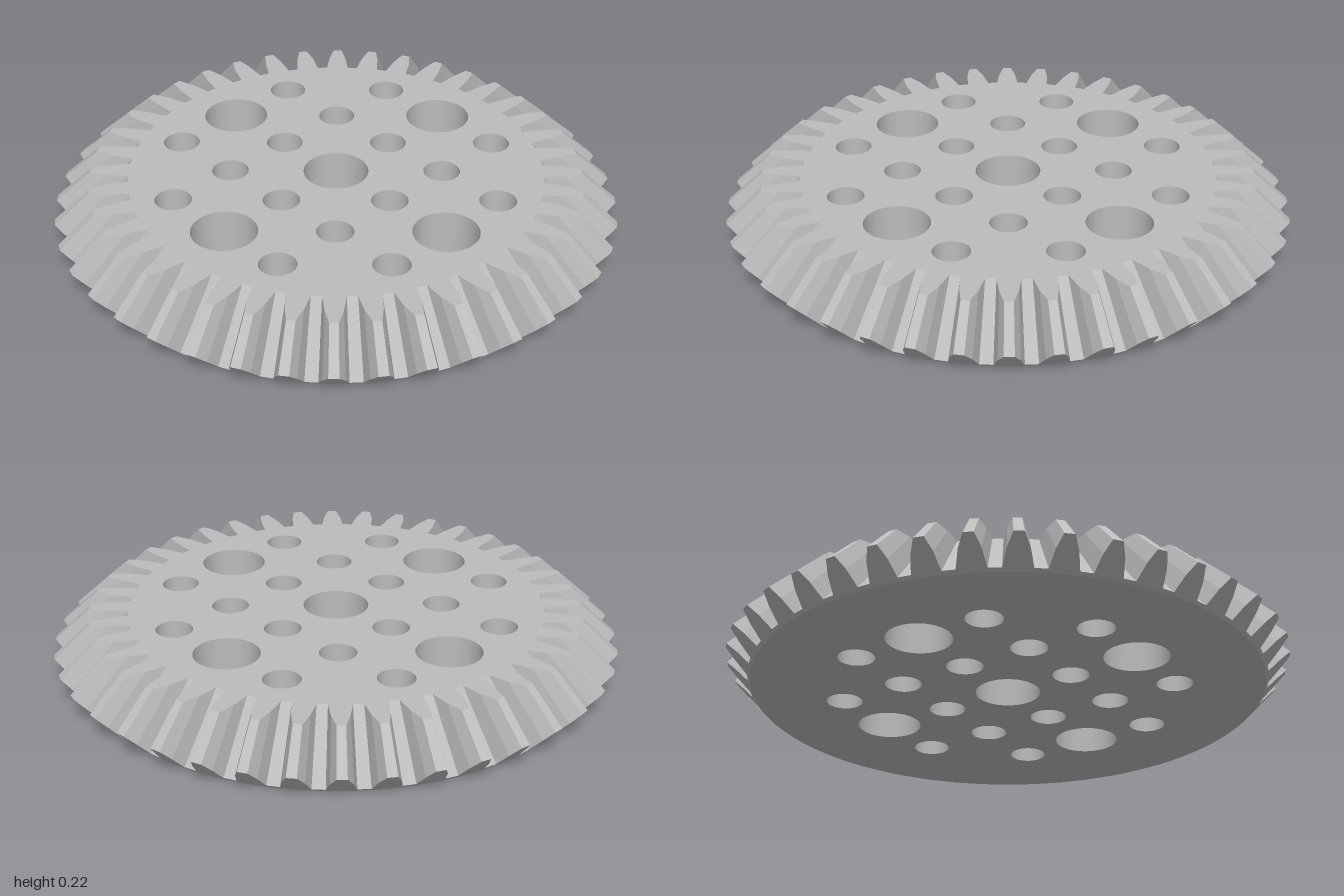
import * as THREE from 'three';

const TEETH = 40;
const TOP = 0.215;      // height of the upper face
const RIM = 0.91;       // radius of the lower face
const APEX = 1.03;      // height where all tooth lines converge
const PITCH = 0.265;    // hole grid spacing

// Half a tooth: [angle in degrees, radius], from tip to root
const HALF_TOOTH = [[1.0, 1.0], [2.2, 0.965], [3.1, 0.92]];
const TOOTH = [
  ...HALF_TOOTH.map(([a, r]) => [-a, r]).reverse(),
  ...HALF_TOOTH,
];

const polar = (angle, r, y) =>
  new THREE.Vector3(r * Math.cos(angle), y, -r * Math.sin(angle));

// Flat-shaded band joining a lower ring to an upper ring
function band(lower, upper) {
  const points = [];
  lower.forEach((a, i) => {
    const j = (i + 1) % lower.length;
    points.push(a, lower[j], upper[j], a, upper[j], upper[i]);
  });
  const geometry = new THREE.BufferGeometry().setFromPoints(points);
  geometry.computeVertexNormals();
  return geometry;
}

// Hole layout on the grid: five large axle holes and sixteen small ones
function holeLayout() {
  const holes = [];
  for (let i = -2; i <= 2; i++) {
    for (let j = -2; j <= 2; j++) {
      if (Math.abs(i) === 2 && Math.abs(j) === 2) continue;
      const large = (i === 0 && j === 0) || Math.abs(i) + Math.abs(j) === 2 && i * j === 0;
      holes.push({ x: i * PITCH, z: j * PITCH, r: large ? 0.115 : 0.065 });
    }
  }
  return holes;
}

// Flat face bounded by a ring and pierced by the holes
function piercedFace(ring, holes) {
  const shape = new THREE.Shape(ring.map((p) => new THREE.Vector2(p.x, -p.z)));
  for (const h of holes) {
    const path = new THREE.Path();
    path.absarc(h.x, -h.z, h.r, 0, Math.PI * 2, true);
    shape.holes.push(path);
  }
  return new THREE.ShapeGeometry(shape, 24);
}

export function createModel() {
  const gear = new THREE.Group();
  gear.name = 'bevelGear';
  const grey = new THREE.MeshStandardMaterial({ color: 0xbcbcbc });
  grey.name = 'grey';

  const add = (name, geometry) => {
    const mesh = new THREE.Mesh(geometry, grey);
    mesh.name = name;
    gear.add(mesh);
    return mesh;
  };

  // Rings: lower rim, tooth outline on the back cone, tooth outline at the top
  const rim = [], outer = [], inner = [];
  for (let n = 0; n < TEETH; n++) {
    for (const [degrees, r] of TOOTH) {
      const angle = (n / TEETH) * Math.PI * 2 + THREE.MathUtils.degToRad(degrees);
      const y = (r - RIM) * 1.056;
      const taper = (APEX - TOP) / (APEX - y);
      rim.push(polar(angle, RIM, 0));
      outer.push(polar(angle, r, y));
      inner.push(polar(angle, r * taper, TOP));
    }
  }
  add('backCone', band(rim, outer));
  add('teeth', band(outer, inner));

  // Upper and lower faces
  const holes = holeLayout();
  add('upperFace', piercedFace(inner, holes).rotateX(-Math.PI / 2).translate(0, TOP, 0));
  add('lowerFace', piercedFace(rim, holes).rotateX(Math.PI / 2));

  // Inward-facing hole walls
  for (const h of holes) {
    const wall = new THREE.CylinderGeometry(h.r, h.r, TOP, 48, 1, true);
    wall.scale(-1, 1, 1);
    wall.computeVertexNormals();
    add('holeWall', wall).position.set(h.x, TOP / 2, h.z);
  }
  return gear;
}
